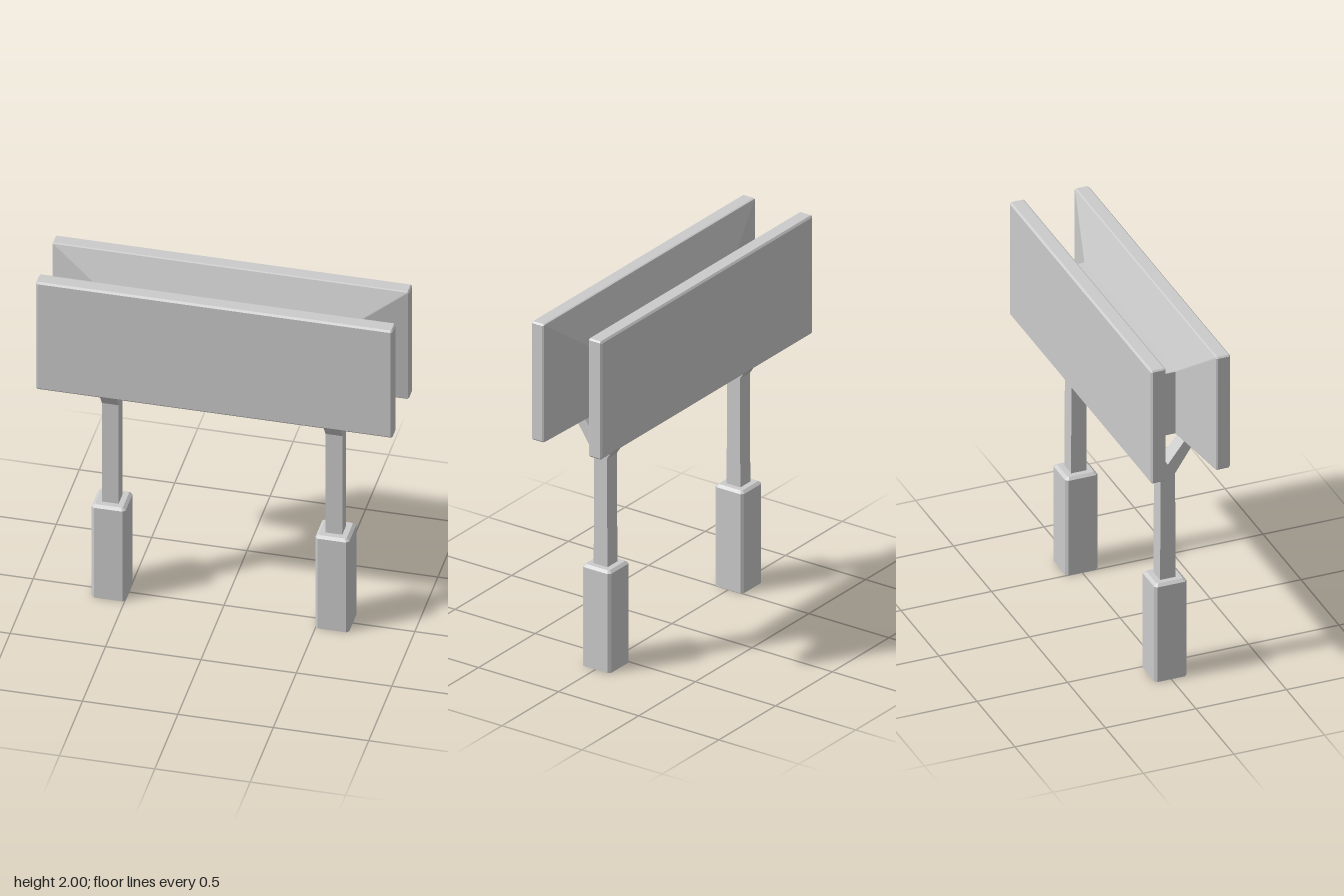
import * as THREE from 'three';

const material = new THREE.MeshStandardMaterial({ color: 0xcccccc, flatShading: true, side: THREE.DoubleSide });

// Rectangle with clipped corners, counter-clockwise seen from +z
function section(z, x, y0, y1, c) {
  return [
    [x - c, y0], [x, y0 + c], [x, y1 - c], [x - c, y1],
    [c - x, y1], [-x, y1 - c], [-x, y0 + c], [c - x, y0],
  ].map(([px, py]) => new THREE.Vector3(px, py, z));
}

// Skin sections listed from high z to low z, with optional end caps
function loft(sections, capStart, capEnd) {
  const pos = [];
  const tri = (...pts) => pts.forEach((p) => pos.push(p.x, p.y, p.z));
  for (let i = 0; i < sections.length - 1; i++) {
    const s = sections[i], t = sections[i + 1];
    for (let j = 0; j < s.length; j++) {
      const k = (j + 1) % s.length;
      tri(s[j], t[j], t[k]);
      tri(s[j], t[k], s[k]);
    }
  }
  const first = sections[0], last = sections[sections.length - 1];
  for (let j = 1; j < first.length - 1; j++) {
    if (capStart) tri(first[0], first[j], first[j + 1]);
    if (capEnd) tri(last[0], last[j + 1], last[j]);
  }
  const g = new THREE.BufferGeometry();
  g.setAttribute('position', new THREE.Float32BufferAttribute(pos, 3));
  g.computeVertexNormals();
  return g;
}

function add(parent, geometry, name) {
  const mesh = new THREE.Mesh(geometry, material);
  mesh.name = name;
  parent.add(mesh);
  return mesh;
}

export function createModel() {
  const model = new THREE.Group();
  model.name = 'billboard';

  // Two bevelled panels whose backs taper into a shared core
  const half = [
    [0.22, 0.925, 1.345, 1.99, 0.004],
    [0.211, 0.935, 1.335, 2, 0.008],
    [0.148, 0.935, 1.335, 2, 0.008],
    [0.14, 0.93, 1.338, 1.997, 0.004],
    [0.055, 0.6, 1.395, 1.76, 0.002],
  ];
  const mirrored = half.map(([z, ...rest]) => [-z, ...rest]).reverse();
  add(model, loft([...half, ...mirrored].map((s) => section(...s)), true, true), 'doublePanel');

  // Forked post profile, drawn in the z-y plane
  const fork = new THREE.Shape([
    [-0.043, 0.55], [0.043, 0.55], [0.04, 1.18], [0.155, 1.355], [0.12, 1.395],
    [0, 1.24], [-0.12, 1.395], [-0.155, 1.355], [-0.04, 1.18],
  ].map(([x, y]) => new THREE.Vector2(x, y)));
  const postGeometry = new THREE.ExtrudeGeometry(fork, { depth: 0.088, bevelEnabled: false })
    .translate(0, 0, -0.044)
    .rotateY(Math.PI / 2);

  // Chamfered footing, open underneath
  const baseGeometry = loft([
    section(0.57, 0.073, -0.073, 0.073, 0.008),
    section(0.557, 0.089, -0.089, 0.089, 0.014),
    section(0, 0.089, -0.089, 0.089, 0.014),
  ], true, false).rotateX(-Math.PI / 2);

  for (const [side, x] of [['left', 0.586], ['right', -0.586]]) {
    const support = new THREE.Group();
    support.name = side + 'Support';
    support.position.x = x;
    add(support, postGeometry, side + 'ForkedPost');
    add(support, baseGeometry, side + 'Base');
    model.add(support);
  }
  return model;
}
